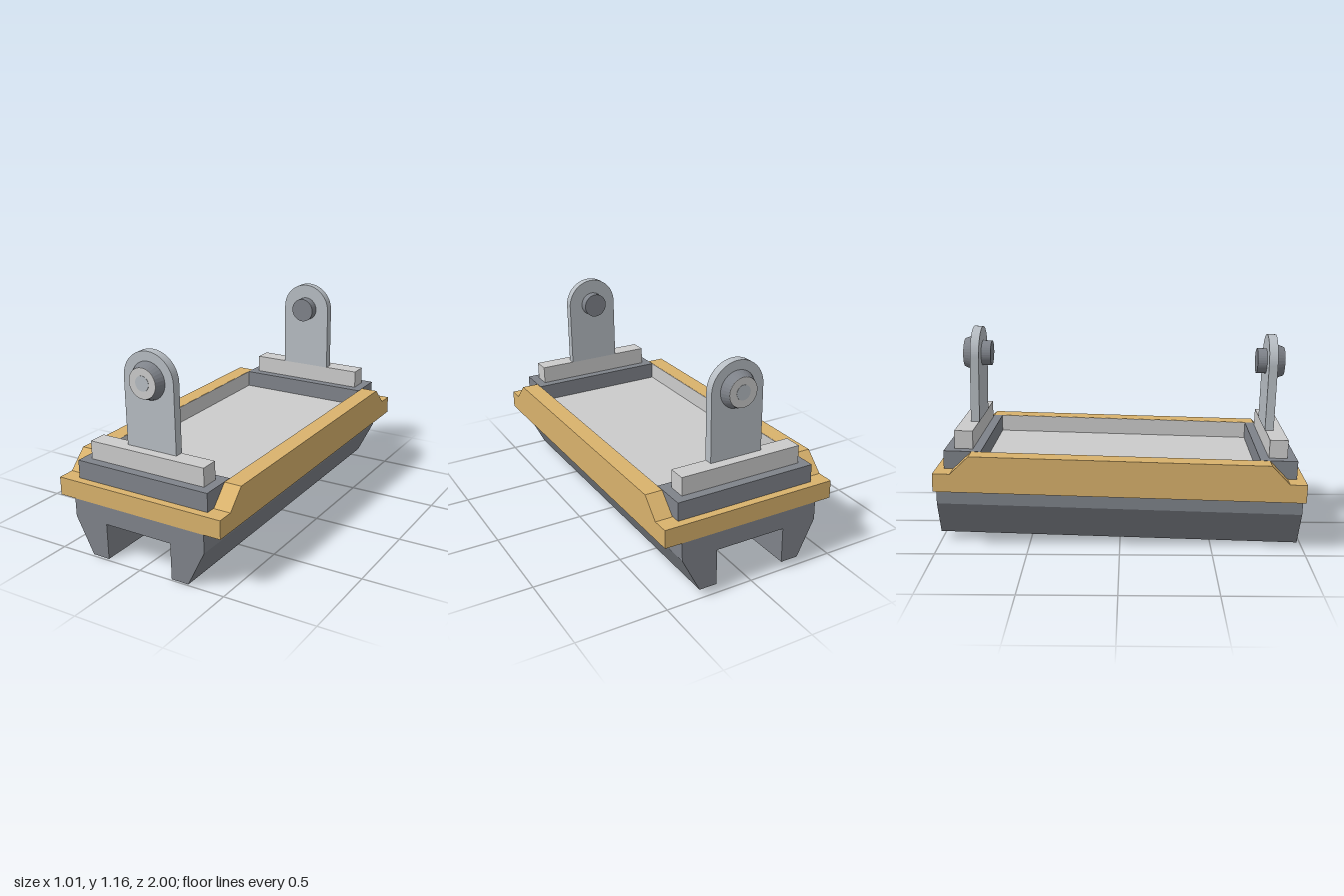
import * as THREE from 'three';

const mat = (color) => new THREE.MeshStandardMaterial({ color, flatShading: true });

export function createModel() {
  const gold = mat(0xd9b26c), dark = mat(0x7f838a), steel = mat(0xb7bdc3), pale = mat(0xcccccc);
  const L = 0.993; // half length
  const body = new THREE.Group();
  body.name = 'body';

  const add = (parent, name, geometry, material, x = 0, y = 0, z = 0) => {
    const mesh = new THREE.Mesh(geometry, material);
    mesh.name = name;
    mesh.position.set(x, y, z);
    parent.add(mesh);
    return mesh;
  };
  const box = (parent, name, material, w, h, d, x, y, z) =>
    add(parent, name, new THREE.BoxGeometry(w, h, d), material, x, y, z);
  const extrude = (shape, depth) =>
    new THREE.ExtrudeGeometry(shape, { depth, bevelEnabled: false, curveSegments: 24 });
  const polygon = (points) => new THREE.Shape(points.map(([x, y]) => new THREE.Vector2(x, y)));

  // Lower hull: two tapered runners joined by a deck
  const half = [[0.2, 0.2], [0.2, 0], [0.3, 0], [0.4, 0.2], [0.4, 0.3]];
  const mirrored = half.map(([x, y]) => [-x, y]).reverse();
  add(body, 'hull', extrude(polygon([...half, ...mirrored]), 2 * L), dark, 0, 0, -L);

  // Belt around the hull, with raised side rails sloping down at both ends
  box(body, 'belt', gold, 0.99, 0.1, 2 * L, 0, 0.35, 0);
  const railShape = polygon([[-0.9, 0.4], [0.9, 0.4], [0.8, 0.5], [-0.8, 0.5]]);
  for (const side of [1, -1]) {
    const rail = add(body, side > 0 ? 'leftRail' : 'rightRail', extrude(railShape, 0.095), gold,
      side > 0 ? 0.4 : -0.495, 0, 0);
    rail.rotation.y = Math.PI / 2;
    // Pale lining on the inner face of the rail
    box(body, side > 0 ? 'leftLining' : 'rightLining', pale, 0.003, 0.1, 1.5, side * 0.3985, 0.449, 0);
  }

  // Tray floor
  box(body, 'trayFloor', pale, 0.8, 0.004, 1.5, 0, 0.402, 0);

  // Upright plate with a rounded top
  const plate = new THREE.Shape();
  plate.moveTo(-0.15, 0.6);
  plate.lineTo(0.15, 0.6);
  plate.lineTo(0.15, 0.965);
  plate.absarc(0, 0.965, 0.15, 0, Math.PI, false);
  plate.closePath();

  // Matching end brackets; the back one is turned half round
  for (const end of [1, -1]) {
    const bracket = new THREE.Group();
    bracket.name = end > 0 ? 'frontBracket' : 'backBracket';
    box(bracket, 'endBlock', dark, 0.796, 0.1, 0.2, 0, 0.45, 0.85);
    box(bracket, 'plinth', pale, 0.695, 0.1, 0.1, 0, 0.55, 0.85);
    add(bracket, 'upright', extrude(plate, 0.048), steel, 0, 0, 0.797);
    // Pivot pin: tapered outer collar with cap discs, plain inner stub
    const pin = (name, rOuter, rInner, z0, z1, material) => {
      const g = new THREE.CylinderGeometry(rOuter, rInner, z1 - z0, 32);
      const m = add(bracket, name, g, material, 0, 0.965, (z0 + z1) / 2);
      m.rotation.x = Math.PI / 2;
    };
    pin('pinCollar', 0.08, 0.1, 0.845, 0.893, dark);
    pin('pinCap', 0.08, 0.08, 0.892, 0.895, pale);
    pin('pinCentre', 0.04, 0.04, 0.894, 0.897, steel);
    pin('pinStub', 0.07, 0.07, 0.745, 0.798, dark);
    bracket.rotation.y = end > 0 ? 0 : Math.PI;
    body.add(bracket);
  }

  // The whole body sits slightly nose-down and turned a touch
  body.rotation.set(0.025, -0.0105, 0);
  body.position.set(0, 0.025, -0.005);

  const model = new THREE.Group();
  model.name = 'model';
  model.add(body);
  return model;
}
